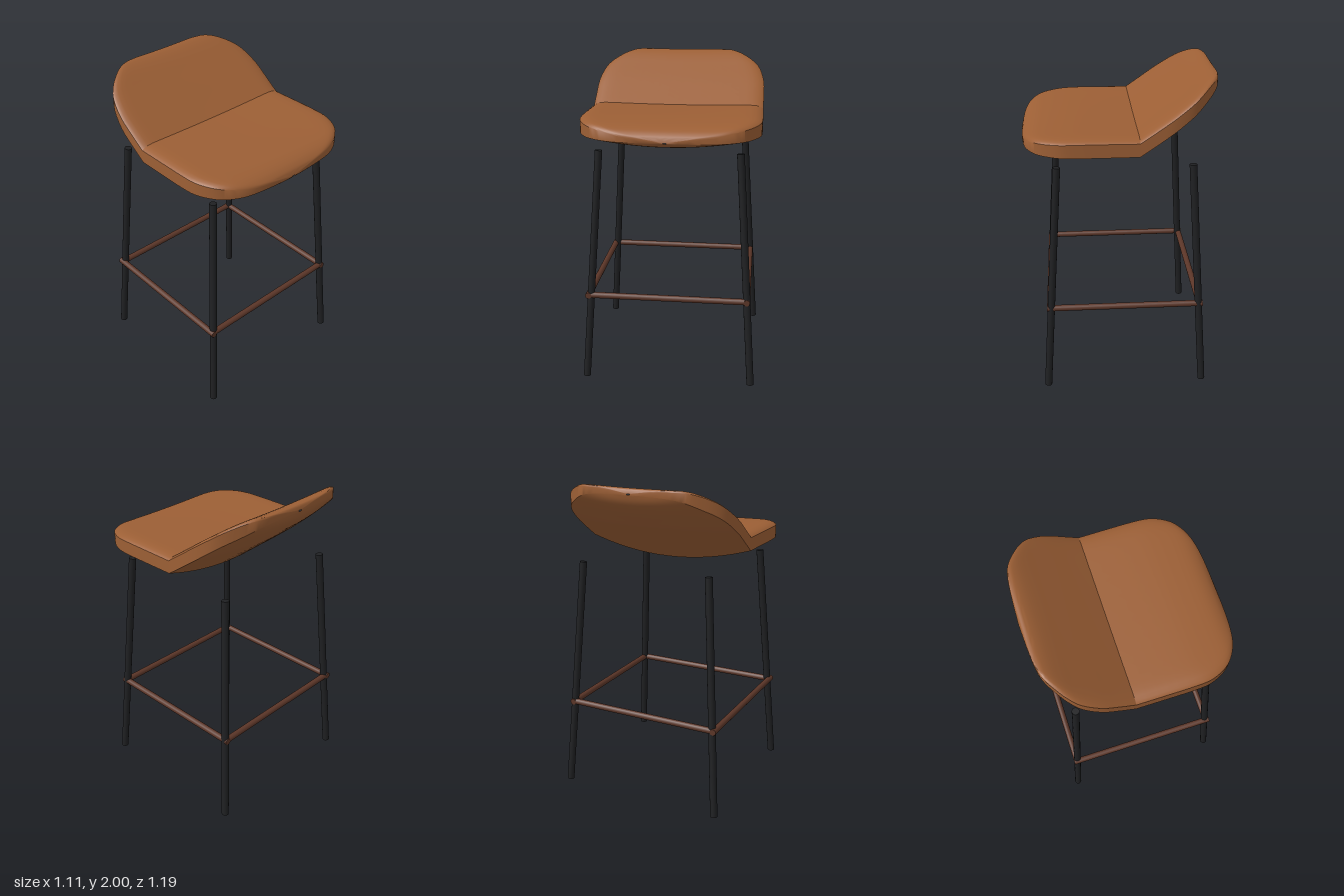
import * as THREE from 'three';
import { toCreasedNormals } from 'three/addons/utils/BufferGeometryUtils.js';

const leather = new THREE.MeshStandardMaterial({ color: 0x9c5f35 });
leather.name = 'tan leather';
const blackMetal = new THREE.MeshStandardMaterial({ color: 0x1f2022 });
blackMetal.name = 'black metal';
const brownWood = new THREE.MeshStandardMaterial({ color: 0x5c3628 });
brownWood.name = 'brown rail';

// Cushion stations from the crease outwards:
// [z, half width, top, bottom at centre, bottom at edge]
const SEAT = [
  [-0.10, 0.555, 1.695, 1.51, 1.60], [0.10, 0.556, 1.697, 1.512, 1.60],
  [0.26, 0.555, 1.697, 1.518, 1.60], [0.36, 0.545, 1.693, 1.53, 1.60],
  [0.45, 0.505, 1.686, 1.544, 1.60], [0.505, 0.455, 1.677, 1.555, 1.598],
  [0.545, 0.39, 1.662, 1.565, 1.597], [0.57, 0.315, 1.645, 1.575, 1.596],
  [0.585, 0.20, 1.628, 1.585, 1.596], [0.595, 0.01, 1.602, 1.597, 1.597],
];
const BACK = [
  [-0.10, 0.555, 1.695, 1.51, 1.60], [-0.20, 0.556, 1.765, 1.587, 1.67],
  [-0.30, 0.553, 1.836, 1.663, 1.742], [-0.40, 0.525, 1.906, 1.742, 1.815],
  [-0.46, 0.48, 1.948, 1.793, 1.86], [-0.51, 0.42, 1.979, 1.836, 1.895],
  [-0.55, 0.36, 1.996, 1.878, 1.925], [-0.573, 0.30, 1.997, 1.907, 1.945],
  [-0.586, 0.20, 1.991, 1.932, 1.956], [-0.595, 0.01, 1.968, 1.962, 1.962],
];

// Skin smooth cross-sections through the stations
function cushionHalf(stations) {
  const outline = new THREE.CatmullRomCurve3(
    stations.map(s => new THREE.Vector3(s[0], s[1], s[2])), false, 'catmullrom');
  const underside = new THREE.CatmullRomCurve3(
    stations.map(s => new THREE.Vector3(s[3], s[4], 0)), false, 'catmullrom');
  const rows = 27, across = 24, ring = 2 * (across + 1);
  const pos = [], index = [];
  for (let i = 0; i <= rows; i++) {
    const { x: z, y: w, z: top } = outline.getPoint(i / rows);
    const { x: centre, y: edge } = underside.getPoint(i / rows);
    const thick = Math.max(top - edge, 0.003);
    // gently dished top with softened rim
    for (let k = 0; k <= across; k++) {
      const s = Math.sin((k / across - 0.5) * Math.PI);
      const y = top + thick * (0.1 * s * s - 0.25 * Math.abs(s) ** 20);
      pos.push(w * s, Math.min(y, 2), z);
    }
    // bowed underside
    for (let k = 0; k <= across; k++) {
      const s = Math.sin((0.5 - k / across) * Math.PI);
      pos.push(w * s, centre + (edge - centre) * s * s, z);
    }
  }
  const forward = stations[1][0] > stations[0][0];
  for (let i = 0; i < rows; i++) {
    for (let j = 0; j < ring; j++) {
      const n = (j + 1) % ring;
      const a = i * ring + j, b = i * ring + n;
      const d = a + ring, c = b + ring;
      if (forward) index.push(a, d, b, b, d, c);
      else index.push(a, b, d, b, c, d);
    }
  }
  const g = new THREE.BufferGeometry();
  g.setAttribute('position', new THREE.Float32BufferAttribute(pos, 3));
  g.setIndex(index);
  return toCreasedNormals(g, 0.6);
}

// Round bar between two points
function bar(name, from, to, radius, material) {
  const a = new THREE.Vector3(...from), b = new THREE.Vector3(...to);
  const dir = b.clone().sub(a);
  const mesh = new THREE.Mesh(
    new THREE.CylinderGeometry(radius, radius, dir.length(), 16), material);
  mesh.position.copy(a).add(b).multiplyScalar(0.5);
  mesh.quaternion.setFromUnitVectors(new THREE.Vector3(0, 1, 0), dir.normalize());
  mesh.name = name;
  return mesh;
}

export function createModel() {
  const stool = new THREE.Group();
  stool.name = 'barStool';

  for (const [name, stations] of [['seatCushion', SEAT], ['backrest', BACK]]) {
    const mesh = new THREE.Mesh(cushionHalf(stations), leather);
    mesh.name = name;
    stool.add(mesh);
  }

  // Splayed legs, centred slightly behind the seat
  const zc = -0.024;
  for (const sx of [-1, 1]) {
    for (const sz of [-1, 1]) {
      const name = (sz > 0 ? 'front' : 'back') + (sx > 0 ? 'Left' : 'Right') + 'Leg';
      stool.add(bar(name, [sx * 0.533, 0.002, zc + sz * 0.506],
        [sx * 0.431, 1.498, zc + sz * 0.406], 0.023, blackMetal));
    }
  }

  // Footrest rails
  const y = 0.565, x = 0.495, z = 0.475;
  for (const s of [-1, 1]) {
    stool.add(bar(s > 0 ? 'frontRail' : 'backRail',
      [-x - 0.01, y, zc + s * z], [x + 0.015, y, zc + s * z], 0.02, brownWood));
    const rx = s > 0 ? x : -x - 0.015;
    stool.add(bar(s > 0 ? 'leftRail' : 'rightRail',
      [rx, y, zc - z - 0.02], [rx, y, zc + z + 0.02], 0.02, brownWood));
  }
  return stool;
}
